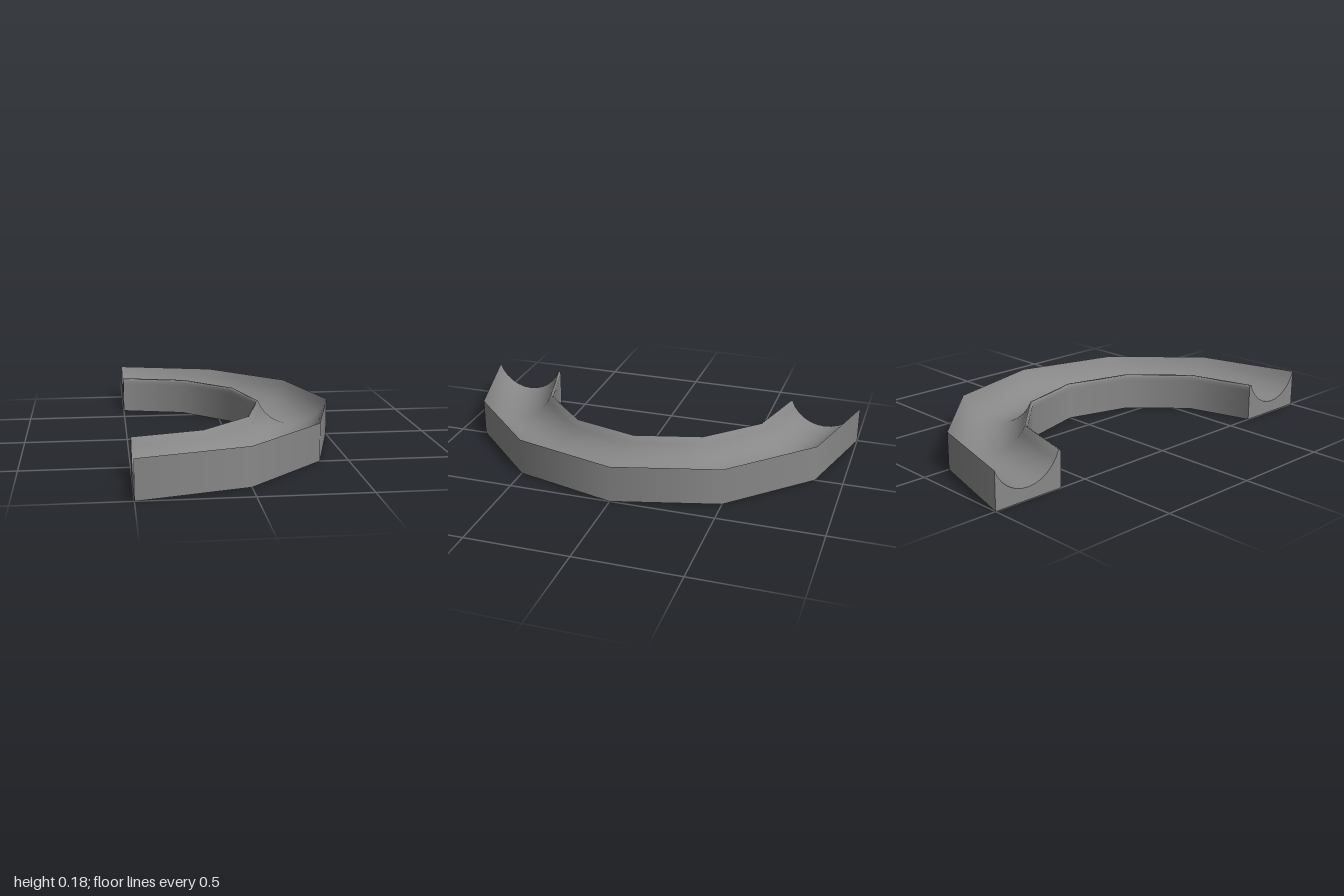
import * as THREE from 'three';

const INNER = 0.64, OUTER = 1, HEIGHT = 0.18, LIP = 0.012, DEPTH = 0.122;
const point = ([r, y]) => new THREE.Vector2(r, y);

// Rounded trough from the outer rim down and up to the lip, then over it and down the inner wall
function troughProfile() {
  const half = (OUTER - INNER - LIP) / 2;
  const mid = OUTER - half;
  const R = (half * half + DEPTH * DEPTH) / (2 * DEPTH);
  const sweep = Math.asin(half / R);
  const steps = 12;
  const pts = [];
  for (let i = 0; i <= steps; i++) {
    const a = sweep * (1 - (2 * i) / steps);
    pts.push([mid + R * Math.sin(a), HEIGHT - DEPTH + R * (1 - Math.cos(a))]);
  }
  pts.push([INNER + 0.004, HEIGHT - 0.003], [INNER, HEIGHT - 0.012], [INNER, HEIGHT - 0.03], [INNER, 0]);
  return pts.map(point);
}

export function createModel() {
  const group = new THREE.Group();
  group.name = 'curvedChannel';
  const material = new THREE.MeshStandardMaterial({ color: 0x888888 });
  const trough = troughProfile();

  const add = (name, geometry) => {
    const mesh = new THREE.Mesh(geometry, material);
    mesh.name = name;
    mesh.position.x = -0.5;
    group.add(mesh);
  };

  // Half-ring surfaces in six segments, smooth within each and sharp between them
  const surfaces = {
    base: [[INNER, 0], [OUTER, 0]].map(point),
    outerWall: [[OUTER, 0], [OUTER, HEIGHT]].map(point),
    troughAndInnerWall: trough,
  };
  for (const [name, profile] of Object.entries(surfaces)) {
    add(name, new THREE.LatheGeometry(profile, 6, 0, Math.PI));
  }

  // Flat end faces, one at each end of the half ring
  const section = [point([OUTER, 0]), ...trough];
  for (const [name, side] of [['frontEnd', 1], ['backEnd', -1]]) {
    const shape = new THREE.Shape(section.map((p) => new THREE.Vector2(side * p.x, p.y)));
    add(name, new THREE.ShapeGeometry(shape).rotateY(-Math.PI / 2));
  }
  return group;
}
